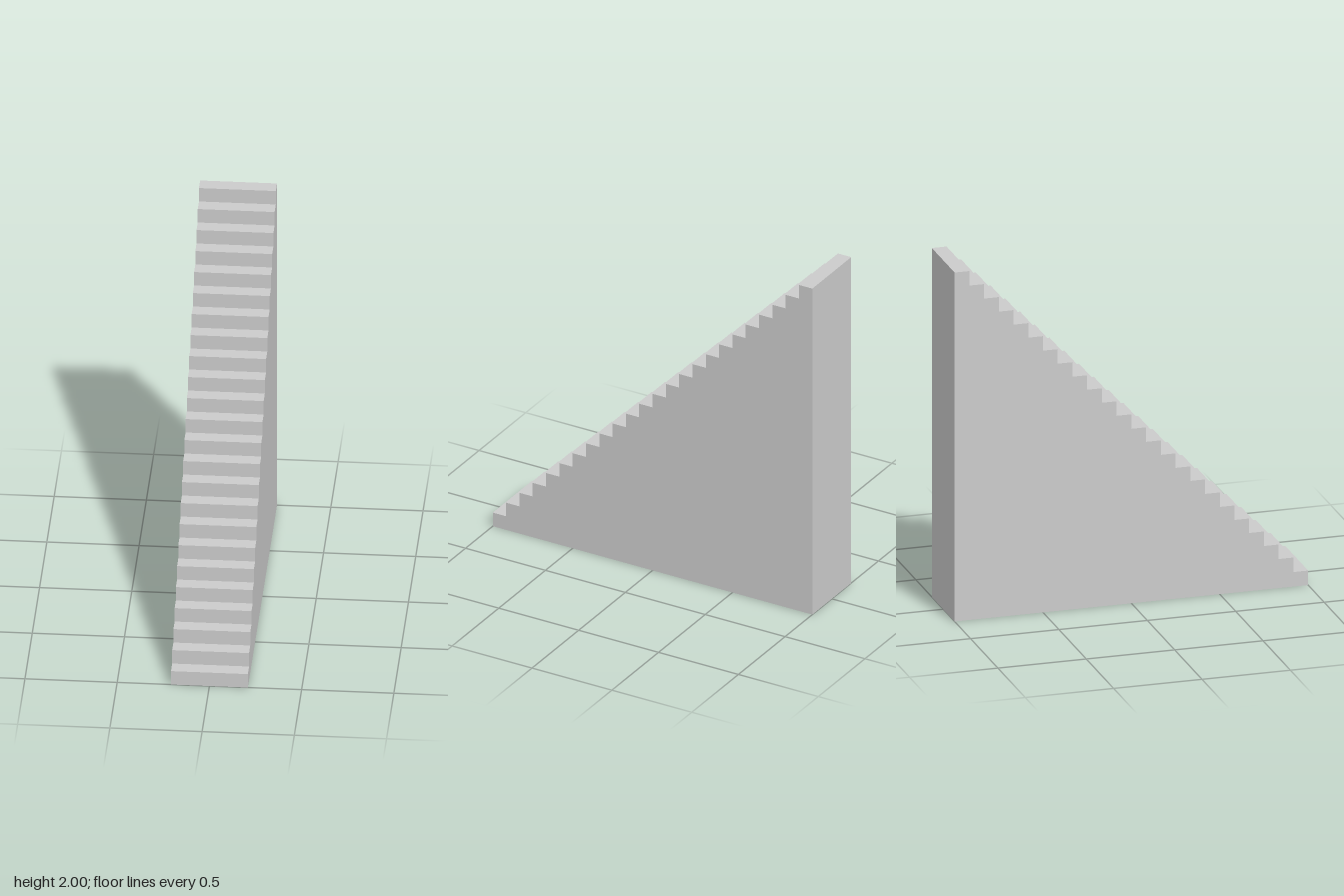
import * as THREE from 'three';

const STEPS = 24;
const STEP = 2 / STEPS; // rise and tread depth
const WIDTH = 5 * STEP;

export function createModel() {
  const group = new THREE.Group();
  group.name = 'staircase';

  // Side profile: x runs along depth (front at +1), y is up
  const profile = new THREE.Shape();
  profile.moveTo(-1, 0);
  profile.lineTo(1, 0);
  for (let i = 0; i < STEPS; i++) {
    const front = 1 - i * STEP;
    const height = (i + 1) * STEP;
    profile.lineTo(front, height); // riser
    profile.lineTo(front - STEP, height); // tread
  }
  profile.closePath();

  // Solid flight, extruded across the width and turned to face +z
  const geometry = new THREE.ExtrudeGeometry(profile, { depth: WIDTH, bevelEnabled: false });
  geometry.translate(0, 0, -WIDTH / 2);
  geometry.rotateY(-Math.PI / 2);

  const material = new THREE.MeshStandardMaterial({ color: 0xcccccc, flatShading: true });
  const flight = new THREE.Mesh(geometry, material);
  flight.name = 'solidStairFlight';
  group.add(flight);
  return group;
}
